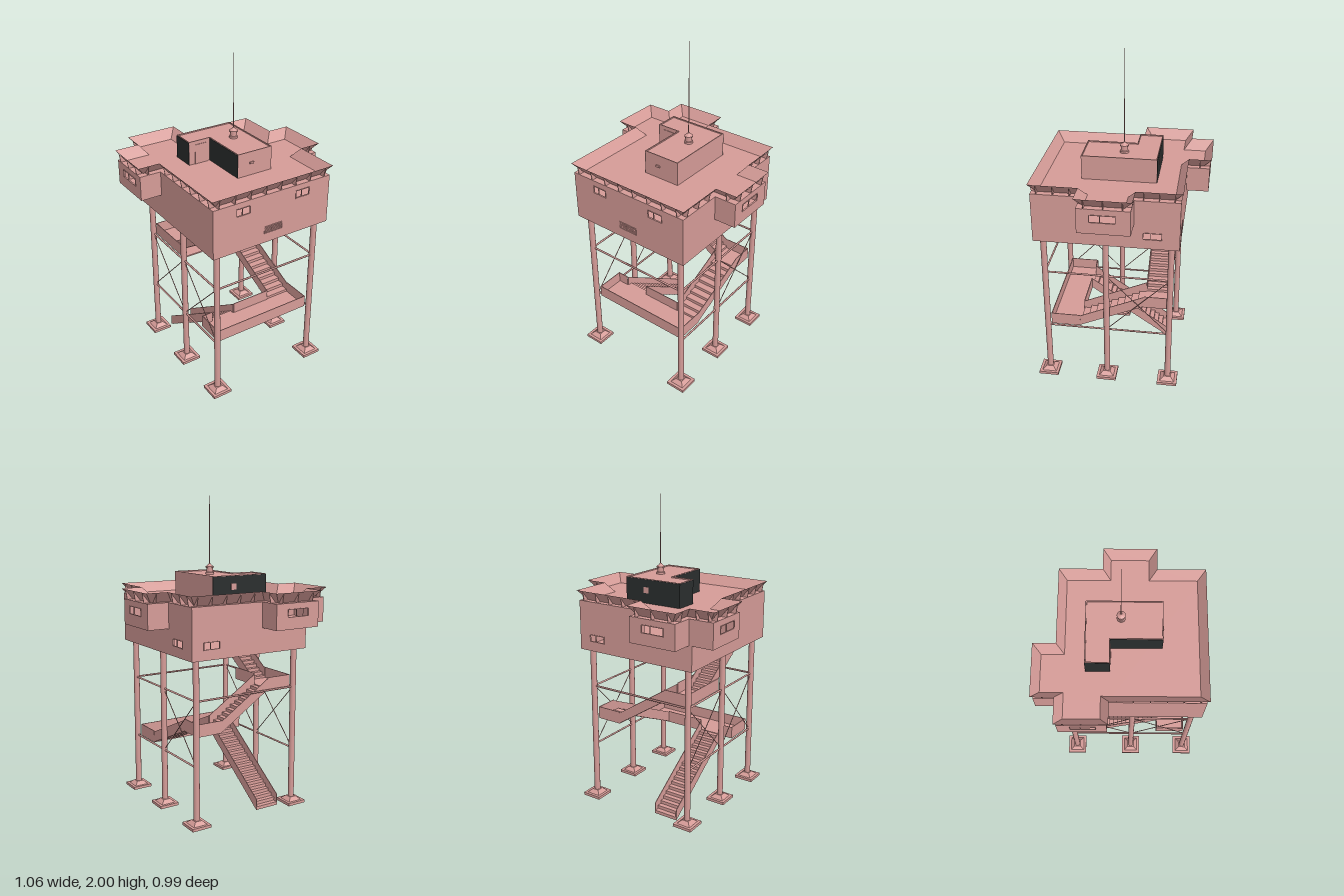
import * as THREE from 'three';

const paint = new THREE.MeshStandardMaterial({ color: 0xd69c98, side: THREE.DoubleSide });
const dark = new THREE.MeshStandardMaterial({ color: 0x2a2e2e, side: THREE.DoubleSide });
const V = (x, y, z) => new THREE.Vector3(x, y, z);

// Eaves outline as [x, z]; every other footprint is an inset of it
const EAVES = [[-0.4, 0.488], [0.395, 0.488], [0.395, 0.207], [0.526, 0.207], [0.526, -0.108],
  [0.395, -0.108], [0.395, -0.363], [-0.065, -0.363], [-0.065, -0.495], [-0.38, -0.495],
  [-0.38, -0.363], [-0.53, -0.363], [-0.53, -0.065], [-0.4, -0.065]];
const BASE = [[-0.39, 0.478], [0.385, 0.478], [0.385, -0.353], [-0.39, -0.353]];

function add(parent, name, geo, mat = paint) {
  const m = new THREE.Mesh(geo, mat);
  m.name = name;
  parent.add(m);
  return m;
}

// Box from its two opposite corners
function box(parent, name, x0, x1, y0, y1, z0, z1, mat) {
  const m = add(parent, name, new THREE.BoxGeometry(x1 - x0, y1 - y0, z1 - z0), mat);
  m.position.set((x0 + x1) / 2, (y0 + y1) / 2, (z0 + z1) / 2);
  return m;
}

function rod(parent, name, a, b, r, sides = 6) {
  const d = b.clone().sub(a);
  const m = add(parent, name, new THREE.CylinderGeometry(r, r, d.length(), sides));
  m.position.copy(a).addScaledVector(d, 0.5);
  m.quaternion.setFromUnitVectors(V(0, 1, 0), d.normalize());
}

const shapeOf = pts => new THREE.Shape(pts.map(p => new THREE.Vector2(p[0], p[1])));
const extrude = (shape, depth) => new THREE.ExtrudeGeometry(shape, { depth, bevelEnabled: false });

// Horizontal slab of an [x, z] outline
function slab(parent, name, pts, y, h, holePts) {
  const s = shapeOf(pts.map(p => [p[0], -p[1]]));
  if (holePts) s.holes.push(shapeOf(holePts.map(p => [p[0], -p[1]])));
  add(parent, name, extrude(s, h).rotateX(-Math.PI / 2)).position.y = y;
}

// Move every side of a right-angled outline inwards by d
function inset(pts, d) {
  const n = pts.length;
  const normal = (a, b) => {
    const l = Math.hypot(b[0] - a[0], b[1] - a[1]);
    return [-(b[1] - a[1]) / l, (b[0] - a[0]) / l];
  };
  return pts.map((p, i) => {
    const u = normal(pts[(i + n - 1) % n], p), v = normal(p, pts[(i + 1) % n]);
    return [p[0] - d * (u[0] + v[0]), p[1] - d * (u[1] + v[1])];
  });
}

// Group whose +x runs along an edge and whose +z faces outwards
function edgeFrame(parent, name, p, q) {
  const g = new THREE.Group();
  g.name = name;
  g.position.set(p[0], 0, p[1]);
  g.rotation.y = Math.atan2(p[1] - q[1], q[0] - p[0]);
  parent.add(g);
  return { g, len: Math.hypot(q[0] - p[0], q[1] - p[1]) };
}

// Walls round an outline; windows[i] lists [centre, width] along edge i
function walls(parent, name, pts, y0, y1, w0, w1, windows) {
  pts.forEach((p, i) => {
    const { g, len } = edgeFrame(parent, name, p, pts[(i + 1) % pts.length]);
    const s = shapeOf([[0, y0], [len, y0], [len, y1], [0, y1]]);
    for (const [c, w, louvred] of windows[i] || []) {
      const a = c - w / 2, b = c + w / 2, t = 0.003;
      s.holes.push(shapeOf([[a, w0], [a, w1], [b, w1], [b, w0]]));
      box(g, 'windowFrame', a - t, b + t, w1, w1 + t, -0.004, 0.003);
      box(g, 'windowFrame', a - t, b + t, w0 - t, w0, -0.004, 0.003);
      for (const x of [a - t, b, a + w * 0.4]) box(g, 'windowFrame', x, x + t, w0, w1, -0.004, 0.003);
      if (louvred) for (let k = 0; k < 5; k++) {
        const y = w0 + (k + 0.5) * (w1 - w0) / 5;
        box(g, 'louvre', a, b, y - 0.003, y + 0.003, -0.005, 0.001).rotation.x = 0.6;
      }
    }
    add(g, name + 'Panel', extrude(s, 0.006)).position.z = -0.006;
  });
}

// Flight of steps rising along local +x, with solid side rails
function flight(parent, x, y, z, angle, run, rise, width, steps) {
  const g = new THREE.Group();
  g.name = 'stairFlight';
  g.position.set(x, y, z);
  g.rotation.y = angle;
  parent.add(g);
  const dx = run / steps, dy = rise / steps, h = width / 2;
  for (let i = 0; i < steps; i++) {
    box(g, 'tread', i * dx, (i + 1) * dx, (i + 1) * dy - 0.003, (i + 1) * dy, -h, h);
    box(g, 'riser', i * dx, i * dx + 0.002, i * dy, (i + 1) * dy, -h, h);
  }
  const side = shapeOf([[0, 0], [run, rise], [run, rise + 0.066], [0, 0.066]]);
  for (const s of [-h, h - 0.004]) add(g, 'stairRail', extrude(side, 0.004)).position.z = s;
}

// Landing floor with solid rails, each rail given as [x0, x1, z0, z1]
function landing(parent, x0, x1, z0, z1, y, rails) {
  box(parent, 'landingFloor', x0, x1, y - 0.004, y + 0.004, z0, z1);
  for (const [a, b, c, d] of rails) {
    box(parent, 'landingRail', a, Math.max(b, a + 0.004), y, y + 0.07, c, Math.max(d, c + 0.004));
  }
}

export function createModel() {
  const root = new THREE.Group();
  root.name = 'stiltStation';

  // Legs on stepped footings
  const legX = [-0.338, 0.333], legZ = [0.43, 0.07, -0.305];
  for (const x of legX) for (const z of legZ) {
    rod(root, 'leg', V(x, 0.02, z), V(x, 0.975, z), 0.018, 16);
    box(root, 'footing', x - 0.06, x + 0.06, 0.01, 0.027, z - 0.06, z + 0.06);
    const cap = new THREE.CylinderGeometry(0.03, 0.062, 0.02, 4, 1).rotateY(Math.PI / 4).toNonIndexed();
    cap.computeVertexNormals();
    add(root, 'footingCap', cap).position.set(x, 0.037, z);
  }

  // Horizontal beams and cross bracing
  const low = 0.355, high = 0.735;
  for (const x of legX) for (let i = 0; i < 2; i++) {
    const a = legZ[i], b = legZ[i + 1];
    for (const y of [low, high]) rod(root, 'sideBeam', V(x, y, a), V(x, y, b), 0.006);
    if (x > 0 && i === 0) continue; // left open beside the stairs
    rod(root, 'brace', V(x, low, a), V(x, high, b), 0.0025);
    rod(root, 'brace', V(x, high, a), V(x, low, b), 0.0025);
  }
  for (const z of [legZ[0], legZ[2]]) rod(root, 'crossBeam', V(legX[0], high, z), V(legX[1], high, z), 0.006);

  // Stairs winding up between the legs
  const q = Math.PI / 2;
  flight(root, -0.172, 0, -0.285, -q, 0.52, 0.355, 0.155, 18);
  landing(root, -0.32, 0.316, 0.235, 0.412, 0.355, [
    [-0.32, 0.316, 0.408, 0.412], [-0.32, -0.316, 0.235, 0.412], [0.312, 0.316, 0.235, 0.412],
    [-0.32, -0.25, 0.235, 0.239], [-0.095, 0.155, 0.235, 0.239]]);
  flight(root, 0.235, 0.355, 0.235, q, 0.385, 0.172, 0.16, 9);
  landing(root, 0.155, 0.315, -0.29, -0.15, 0.527, [
    [0.155, 0.315, -0.29, -0.286], [0.311, 0.315, -0.29, -0.15]]);
  flight(root, 0.155, 0.527, -0.22, Math.PI, 0.32, 0.208, 0.14, 11);
  landing(root, -0.325, -0.165, -0.29, 0.05, 0.737, [
    [-0.325, -0.165, -0.29, -0.286], [-0.325, -0.321, -0.29, 0.05], [-0.169, -0.165, -0.15, 0.05]]);
  flight(root, -0.255, 0.735, -0.05, -q, 0.355, 0.235, 0.13, 12);

  // Main storey: plain lower box, upper walls stepping out into three bays
  const outline = inset(EAVES, 0.01);
  slab(root, 'mainFloor', BASE, 0.97, 0.008);
  slab(root, 'bayFloor', outline, 1.118, 0.006);
  slab(root, 'roofDeck', outline, 1.258, 0.008);
  walls(root, 'lowerWall', BASE, 0.97, 1.12, 1.03, 1.068,
    { 0: [[0.39, 0.115, true]], 1: [[0.678, 0.1]], 2: [[0.125, 0.1]] });
  walls(root, 'upperWall', outline, 1.12, 1.265, 1.188, 1.23, {
    0: [[0.19, 0.085], [0.585, 0.09]], 3: [[0.142, 0.14]], 8: [[0.15, 0.14]], 11: [[0.145, 0.14]] });

  // Outward-leaning parapet with triangular brackets under it
  const inner = inset(EAVES, 0.047), y0 = 1.265, y1 = 1.325, pos = [];
  const gusset = shapeOf([[-0.045, y0], [-0.01, y0], [0, 1.321]]);
  EAVES.forEach((p, i) => {
    const j = (i + 1) % EAVES.length, r = EAVES[j], a = inner[i], b = inner[j];
    pos.push(a[0], y0, a[1], b[0], y0, b[1], r[0], y1, r[1]);
    pos.push(a[0], y0, a[1], r[0], y1, r[1], p[0], y1, p[1]);
    const { g, len } = edgeFrame(root, 'eavesSide', p, r);
    const n = Math.max(1, Math.round(len / 0.1));
    for (let k = 0; k < n; k++) {
      add(g, 'eavesBracket', extrude(gusset, 0.004).rotateY(-q)).position.x = len * (k + 0.5) / n;
    }
  });
  const lean = new THREE.BufferGeometry();
  lean.setAttribute('position', new THREE.Float32BufferAttribute(pos, 3));
  lean.computeVertexNormals();
  add(root, 'parapet', lean);

  // L-shaped roof cabin with rim, door, lamp and dark back and side cladding
  const cabin = [[-0.208, -0.06], [-0.07, -0.06], [-0.07, 0.233], [0.157, 0.233], [0.157, -0.197], [-0.208, -0.197]];
  slab(root, 'roofCabin', cabin, 1.265, 0.136);
  slab(root, 'cabinRim', cabin, 1.4, 0.008, inset(cabin, 0.005));
  box(root, 'cabinDoor', -0.17, -0.088, 1.266, 1.385, -0.06, -0.057);
  box(root, 'cabinLamp', 0.008, 0.034, 1.335, 1.347, 0.233, 0.24);
  box(root, 'backCladding', -0.209, 0.157, 1.266, 1.404, -0.199, -0.197, dark);
  box(root, 'sideCladding', -0.21, -0.208, 1.266, 1.404, -0.199, -0.06, dark);
  box(root, 'sideCladding', -0.072, -0.07, 1.266, 1.404, -0.06, 0.233, dark);
  box(root, 'cabinWindow', 0.0, 0.035, 1.325, 1.36, -0.201, -0.199);

  // Mast: beacon base, turned housing and thin aerial
  const profile = [[0, 1.4], [0.025, 1.4], [0.025, 1.412], [0.02, 1.415], [0.02, 1.438], [0.025, 1.44],
    [0.025, 1.446], [0.012, 1.455], [0.005, 1.464], [0, 1.465]].map(p => new THREE.Vector2(p[0], p[1]));
  const beacon = new THREE.LatheGeometry(profile, 16).toNonIndexed();
  beacon.computeVertexNormals();
  add(root, 'beacon', beacon).position.set(0.055, 0, 0);
  add(root, 'aerial', new THREE.CylinderGeometry(0.0008, 0.003, 0.54, 6)).position.set(0.055, 1.73, 0);

  return root;
}
